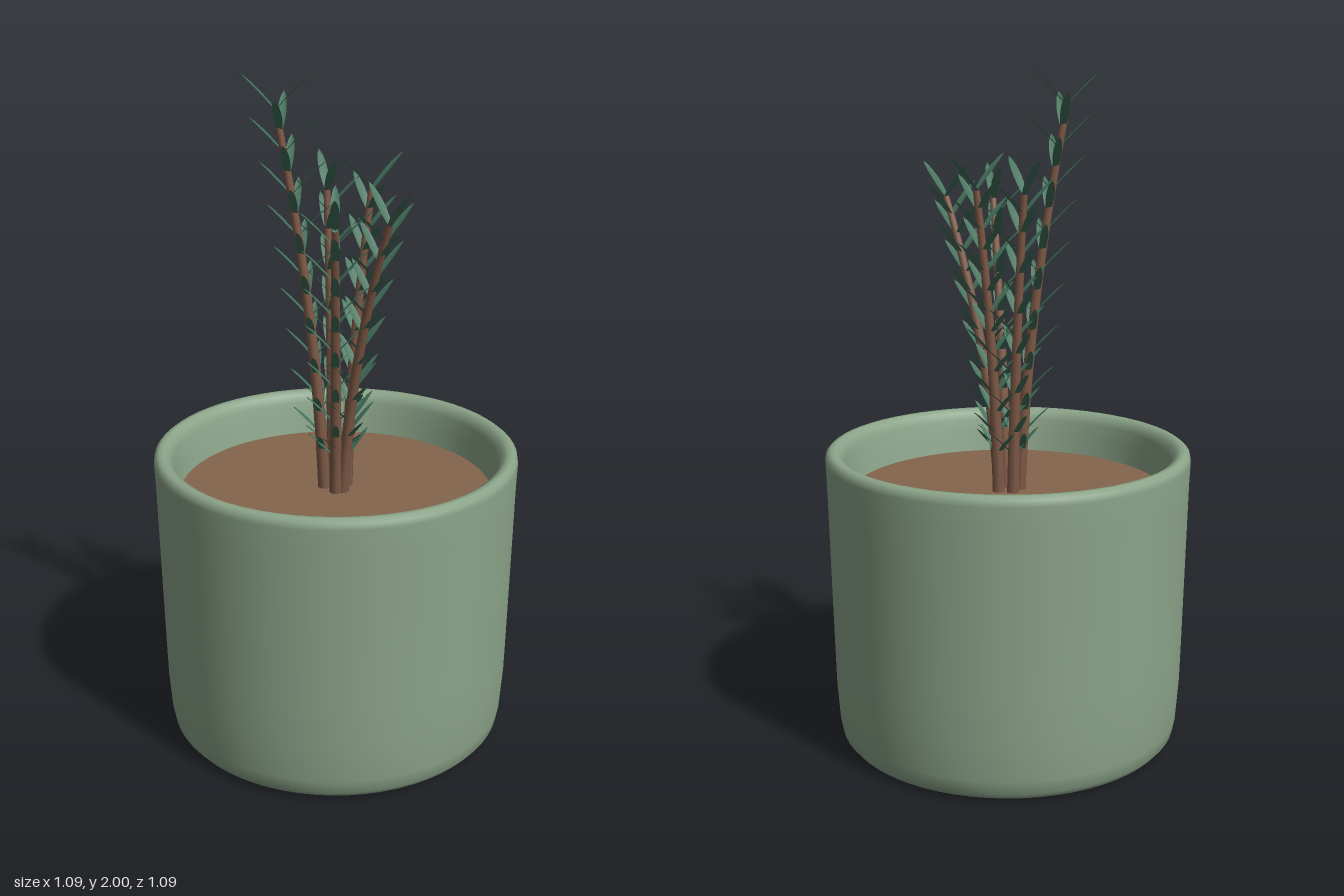
import * as THREE from 'three';

const mat = (name, color, side = THREE.FrontSide) => {
  const m = new THREE.MeshStandardMaterial({ color, side });
  m.name = name;
  return m;
};

const SOIL_Y = 0.77;

// Stem tips; each stem leans outward from the centre of the pot
const STEMS = [
  [-0.14, 1.9, 0.095],
  [0.25, 1.63, 0.07],
  [0.15, 1.62, 0.18],
  [0.045, 1.67, -0.105],
  [-0.085, 1.66, -0.06],
];

// Narrow pointed leaf that grows along +x and rises, with a shallow fold
function leafGeometry() {
  const g = new THREE.PlaneGeometry(1, 1, 7, 2);
  const p = g.attributes.position;
  for (let i = 0; i < p.count; i++) {
    const t = p.getX(i) + 0.5;
    const side = p.getY(i) * 2;
    const half = 0.013 * Math.pow(Math.sin(Math.PI * Math.min(1, 0.12 + t * 0.88)), 0.6);
    p.setXYZ(i, 0.1 * t, 0.118 * t - 0.018 * t * t + 0.003 * Math.abs(side), -side * half);
  }
  g.computeVertexNormals();
  return g;
}

// Tube whose rings shrink from r0 at the base to r1 at the tip
function taperedTube(curve, r0, r1, rings = 14, sides = 8) {
  const g = new THREE.TubeGeometry(curve, rings, 1, sides);
  const p = g.attributes.position;
  const v = new THREE.Vector3();
  for (let i = 0; i < p.count; i++) {
    const t = Math.floor(i / (sides + 1)) / rings;
    const c = curve.getPointAt(t);
    v.fromBufferAttribute(p, i).sub(c).multiplyScalar(r0 + (r1 - r0) * t).add(c);
    p.setXYZ(i, v.x, v.y, v.z);
  }
  return g;
}

function lathe(name, points, material) {
  const g = new THREE.LatheGeometry(points.map(([x, y]) => new THREE.Vector2(x, y)), 64);
  const m = new THREE.Mesh(g, material);
  m.name = name;
  return m;
}

export function createModel() {
  const model = new THREE.Group();
  model.name = 'pottedPlant';
  const potGreen = mat('potGreen', 0x8ca58a);
  const soilBrown = mat('soilBrown', 0x84654c);
  const stemBrown = mat('stemBrown', 0x7f5a47);
  const leafGreen = mat('leafGreen', 0x41705a, THREE.DoubleSide);

  // Pot wall with rounded foot and rolled rim
  model.add(lathe('pot', [
    [0.475, 0], [0.495, 0.008], [0.512, 0.028], [0.52, 0.07], [0.528, 0.18], [0.531, 0.3],
    [0.542, 0.8], [0.545, 0.875], [0.542, 0.893], [0.53, 0.903], [0.515, 0.903],
    [0.498, 0.893], [0.488, 0.87], [0.48, 0.82], [0.464, 0.74],
  ], potGreen));

  const base = new THREE.Mesh(new THREE.CircleGeometry(0.475, 64), potGreen);
  base.name = 'potBase';
  base.rotation.x = Math.PI / 2;
  model.add(base);

  // Soil surface
  const soil = new THREE.Mesh(new THREE.CircleGeometry(0.472, 64), soilBrown);
  soil.name = 'soil';
  soil.rotation.x = -Math.PI / 2;
  soil.position.y = SOIL_Y;
  model.add(soil);

  // Stems with crossed pairs of leaves; the pair at the tip follows the lean
  const leafGeo = leafGeometry();
  for (const [x, y, z] of STEMS) {
    const branch = new THREE.Group();
    branch.name = 'branch';
    const lean = Math.atan2(-z, x);
    const foot = new THREE.Vector3(Math.cos(lean) * 0.035, SOIL_Y - 0.01, -Math.sin(lean) * 0.035);
    const tip = new THREE.Vector3(x, y, z);
    const bend = foot.clone().lerp(tip, 0.18).setY(foot.y + (y - foot.y) * 0.5);
    const curve = new THREE.QuadraticBezierCurve3(foot, bend, tip);

    const stem = new THREE.Mesh(taperedTube(curve, 0.019, 0.01), stemBrown);
    stem.name = 'stem';
    branch.add(stem);

    const length = curve.getLength();
    const nodes = Math.round((length - 0.12) / 0.06);
    for (let n = 0; n <= nodes; n++) {
      const t = 1 - (n / nodes) * (1 - 0.12 / length);
      const at = curve.getPointAt(t);
      for (const turn of [0, Math.PI]) {
        const leaf = new THREE.Mesh(leafGeo, leafGreen);
        leaf.name = 'leaf';
        leaf.position.copy(at);
        leaf.rotation.y = lean + turn + (n % 2) * Math.PI / 2;
        leaf.scale.setScalar(0.78 + 0.22 * t);
        branch.add(leaf);
      }
    }
    model.add(branch);
  }
  return model;
}
